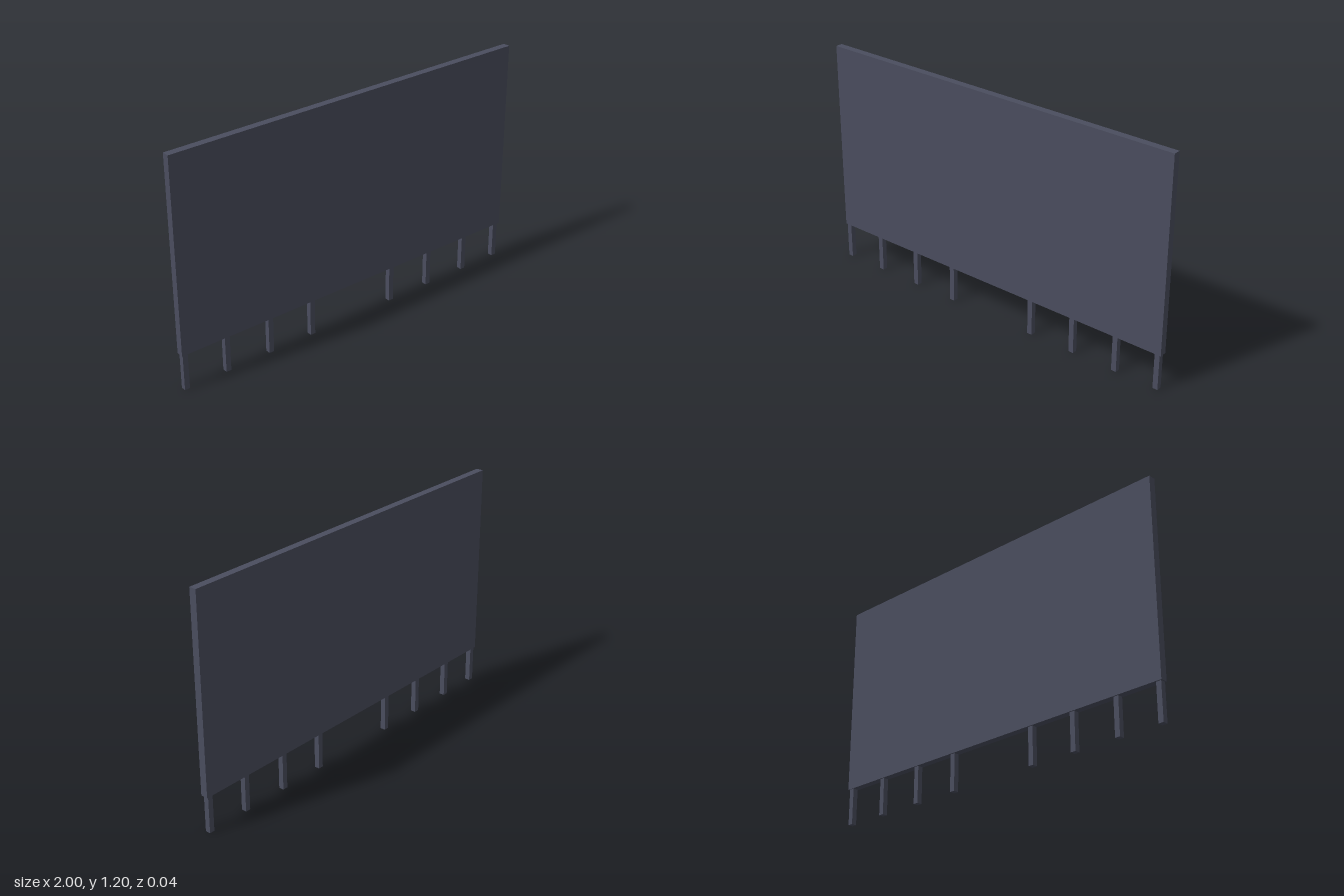
import * as THREE from 'three';

export function createModel() {
  const model = new THREE.Group();
  const material = new THREE.MeshStandardMaterial({ color: 0x4a4d5e });

  // box given by its centre and the heights of its bottom and top
  const addBox = (name, x, z, bottom, top, width, depth) => {
    const mesh = new THREE.Mesh(new THREE.BoxGeometry(width, top - bottom, depth), material);
    mesh.name = name;
    mesh.position.set(x, (bottom + top) / 2, z);
    model.add(mesh);
  };

  // large flat board
  addBox('panel', 0, 0, 0.19, 1.195, 2, 0.037);

  // short square posts, with a wider gap in the middle
  const postCentres = [-0.981, -0.751, -0.503, -0.254, 0.247, 0.498, 0.747, 0.977];
  postCentres.forEach((x, i) => {
    const z = i === postCentres.length - 1 ? -0.001 : 0.001;
    addBox(`post${i + 1}`, x, z, 0, 0.19, 0.027, 0.027);
  });

  return model;
}
